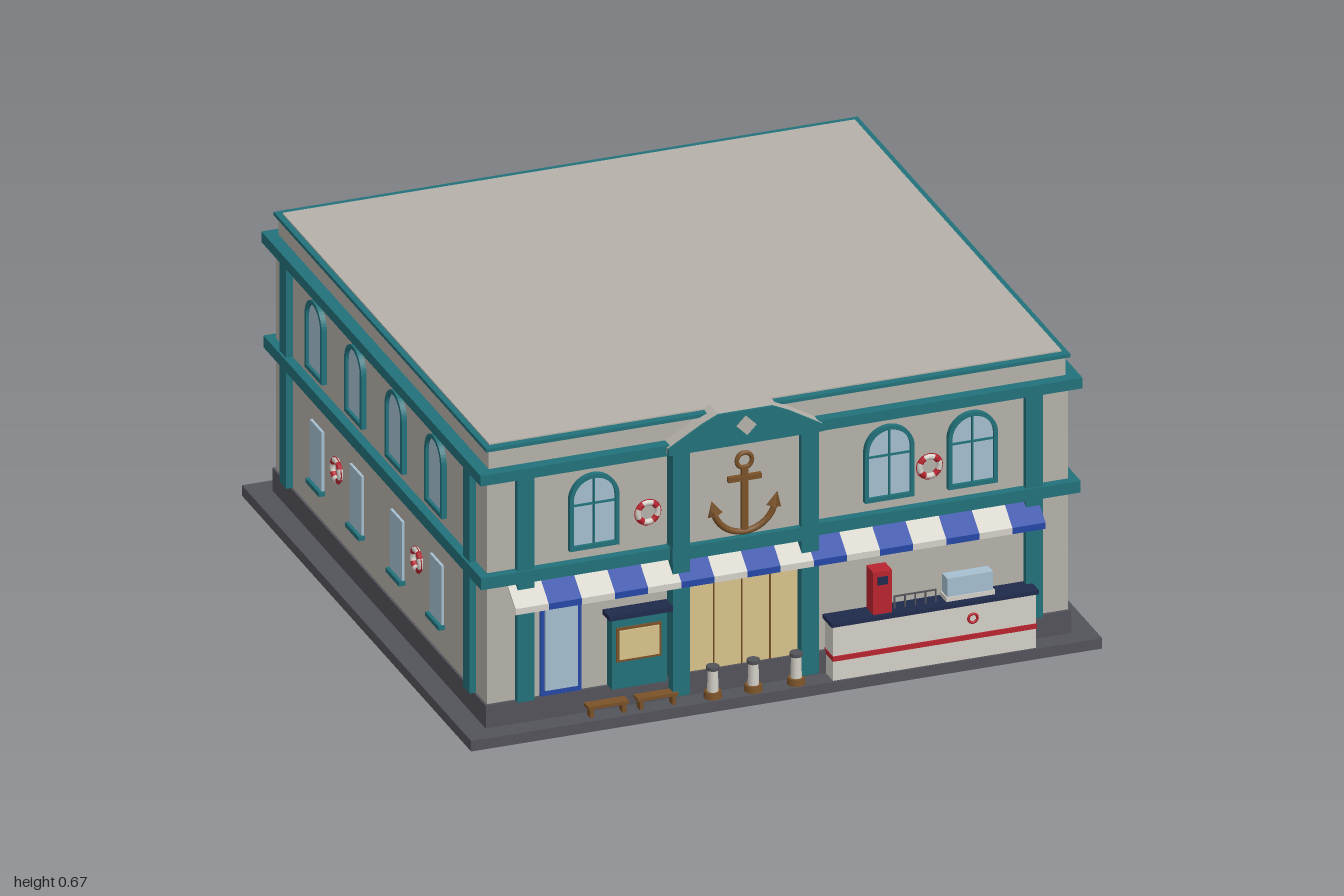
import * as THREE from 'three';

const mat = (name, color, side = THREE.FrontSide) => {
  const m = new THREE.MeshStandardMaterial({ color, side });
  m.name = name;
  return m;
};

export function createModel() {
  const M = {
    wall: mat('warm grey', 0xb5b1a9), teal: mat('teal', 0x22727a), slate: mat('slate', 0x53535a),
    glass: mat('pale glass', 0xa6bfd0), tan: mat('sand', 0xdac38c), blue: mat('awning blue', 0x2448a6),
    red: mat('red', 0xb8242f), brown: mat('brown', 0x7a5228), navy: mat('navy', 0x1f2a4c),
    white: mat('off white', 0xd4d0c8),
  };
  const root = new THREE.Group();
  root.name = 'harbourShop';

  const add = (parent, name, geo, m, x = 0, y = 0, z = 0) => {
    const o = new THREE.Mesh(geo, m);
    o.name = name;
    o.position.set(x, y, z);
    parent.add(o);
    return o;
  };
  // box from its limits on each axis
  const box = (parent, name, m, x0, x1, y0, y1, z0, z1) => add(parent, name,
    new THREE.BoxGeometry(x1 - x0, y1 - y0, z1 - z0), m, (x0 + x1) / 2, (y0 + y1) / 2, (z0 + z1) / 2);
  const slab = (name, m, hx, y0, y1, hz) => box(root, name, m, -hx, hx, y0, y1, -hz, hz);
  const group = (parent, name, x = 0, y = 0, z = 0) => {
    const g = new THREE.Group();
    g.name = name;
    g.position.set(x, y, z);
    parent.add(g);
    return g;
  };
  const extrude = (shape, depth) => new THREE.ExtrudeGeometry(shape, { depth, bevelEnabled: false, curveSegments: 12 });

  // main shell
  slab('pavement', M.slate, 0.7, 0.001, 0.025, 0.665);
  slab('walls', M.wall, 0.645, 0, 0.6, 0.612);
  slab('plinth', M.slate, 0.65, 0.025, 0.077, 0.619);
  slab('middleBand', M.teal, 0.665, 0.35, 0.377, 0.632);
  slab('cornice', M.teal, 0.668, 0.59, 0.614, 0.636);
  slab('parapet', M.wall, 0.64, 0.614, 0.657, 0.61);
  slab('parapetCap', M.teal, 0.648, 0.656, 0.664, 0.617);
  slab('roof', M.wall, 0.635, 0.6, 0.667, 0.6);

  // pilasters near every corner on all four faces
  for (const s of [-1, 1]) for (const t of [-1, 1]) {
    add(root, 'facePilaster', new THREE.BoxGeometry(0.037, 0.515, 0.03), M.teal, s * 0.564, 0.334, t * 0.613);
    add(root, 'sidePilaster', new THREE.BoxGeometry(0.03, 0.515, 0.037), M.teal, s * 0.645, 0.334, t * 0.532);
  }

  // arched window, base at local origin, facing +z
  const arch = (r, y0, top, Type = THREE.Shape) => {
    const s = new Type();
    s.moveTo(-r, y0);
    s.lineTo(r, y0);
    s.lineTo(r, top);
    s.absarc(0, top, r, 0, Math.PI, false);
    s.closePath();
    return s;
  };
  const archedWindow = (parent, x, y, w, bars) => {
    const g = group(parent, 'archedWindow', x, y), r = w / 2;
    const frame = arch(r, 0, 0.17 - r);
    frame.holes.push(arch(r - 0.009, 0.01, 0.17 - r, THREE.Path));
    add(g, 'windowFrame', extrude(frame, 0.012), M.teal);
    add(g, 'windowGlass', extrude(arch(r - 0.008, 0.008, 0.17 - r), 0.005), M.glass);
    if (bars) {
      box(g, 'verticalBar', M.teal, -0.002, 0.002, 0.005, 0.165, 0, 0.009);
      box(g, 'crossBar', M.teal, -r + 0.005, r - 0.005, 0.1, 0.104, 0, 0.009);
    }
  };
  const lifeRing = (parent, x, y) => {
    const g = group(parent, 'lifeRing', x, y, 0.006);
    for (let i = 0; i < 8; i++) {
      const wide = i % 2 ? 0.95 : Math.PI / 2 - 0.95;
      const seg = add(g, i % 2 ? 'ringWhite' : 'ringRed',
        new THREE.TorusGeometry(0.022, 0.0065, 8, 5, wide), i % 2 ? M.white : M.red);
      seg.rotation.z = Math.floor(i / 2) * Math.PI / 2 + 0.5 + (i % 2 ? Math.PI / 2 - 0.95 : 0);
    }
    add(g, 'ringRope', new THREE.TorusGeometry(0.029, 0.0012, 4, 20), M.red);
  };

  // both side facades; u runs along the wall as seen from outside
  for (const s of [-1, 1]) {
    const g = group(root, s > 0 ? 'leftFacade' : 'rightFacade', s * 0.645);
    g.rotation.y = s * Math.PI / 2;
    for (const z of [0.33, 0.1, -0.135, -0.365]) {
      const u = -s * z;
      archedWindow(g, u, 0.4, 0.1, false);
      box(g, 'lowerWindow', M.glass, u - 0.035, u + 0.035, 0.15, 0.285, 0, 0.006);
      box(g, 'windowSill', M.teal, u - 0.039, u + 0.039, 0.14, 0.15, 0, 0.014);
    }
    for (const z of [0.22, -0.245]) lifeRing(g, -s * z, 0.236);
  }

  // front upper floor
  const front = group(root, 'frontFacade', 0, 0, 0.612);
  for (const x of [-0.41, 0.245, 0.43]) archedWindow(front, x, 0.4, 0.11, true);
  for (const x of [-0.29, 0.335]) lifeRing(front, x, 0.46);

  // central bay with pediment
  const bay = group(root, 'centralBay', -0.083);
  box(bay, 'bayPanel', M.wall, -0.15, 0.15, 0.37, 0.62, 0.6, 0.63);
  box(bay, 'bayBand', M.teal, -0.163, 0.163, 0.35, 0.38, 0.6, 0.645);
  for (const s of [-1, 1]) add(bay, 'bayColumn', new THREE.BoxGeometry(0.038, 0.56, 0.04), M.teal, s * 0.143, 0.32, 0.625);
  const ped = new THREE.Shape([[-0.172, 0.595], [0.172, 0.595], [0.172, 0.61], [0.095, 0.655], [0.06, 0.671],
    [-0.06, 0.671], [-0.095, 0.655], [-0.172, 0.61]].map(p => new THREE.Vector2(...p)));
  add(bay, 'pedimentBody', extrude(ped, 0.05), M.wall, 0, 0, 0.592);
  add(bay, 'pedimentFace', extrude(ped, 0.006), M.teal, 0, 0, 0.642);
  const diamond = add(bay, 'diamond', new THREE.BoxGeometry(0.033, 0.033, 0.006), M.wall, 0, 0.638, 0.648);
  diamond.rotation.z = Math.PI / 4;
  diamond.scale.x = 0.9;

  // anchor ornament
  const anchor = group(bay, 'anchor', 0, 0, 0.637);
  add(anchor, 'anchorEye', new THREE.TorusGeometry(0.017, 0.005, 8, 18), M.brown, 0, 0.553, 0);
  box(anchor, 'anchorShank', M.brown, -0.007, 0.007, 0.39, 0.54, -0.005, 0.005);
  box(anchor, 'anchorStock', M.brown, -0.037, 0.037, 0.508, 0.519, -0.005, 0.006);
  const arms = add(anchor, 'anchorArms', new THREE.TorusGeometry(0.07, 0.007, 8, 24, Math.PI * 0.86), M.brown, 0, 0.46, 0);
  arms.rotation.z = Math.PI * 1.07;
  for (const s of [-1, 1]) {
    const tip = add(anchor, 'anchorFluke', new THREE.ConeGeometry(0.017, 0.034, 4), M.brown, s * 0.069, 0.454, 0);
    tip.rotation.z = -s * 0.25;
    tip.scale.z = 0.5;
  }

  // striped awning
  const awning = group(root, 'awning');
  const pitch = 1.176 / 16, drop = Math.atan2(0.035, 0.046);
  for (let i = 0; i < 16; i++) {
    const m = i % 2 ? M.blue : M.white, x = -0.6 + pitch * (i + 0.5);
    const cloth = add(awning, 'awningStripe', new THREE.BoxGeometry(pitch, 0.004, 0.058), m, x, 0.325, 0.637);
    cloth.rotation.x = drop;
    add(awning, 'awningValance', new THREE.BoxGeometry(pitch, 0.014, 0.004), m, x, 0.302, 0.66);
  }

  // shop front: door, kiosk and large window
  const shop = group(root, 'shopFront');
  box(shop, 'doorFrame', M.blue, -0.528, -0.437, 0.077, 0.29, 0.61, 0.618);
  box(shop, 'doorGlass', M.glass, -0.519, -0.446, 0.09, 0.283, 0.61, 0.622);
  box(shop, 'kiosk', M.teal, -0.378, -0.256, 0.077, 0.242, 0.61, 0.64);
  box(shop, 'kioskTop', M.navy, -0.388, -0.247, 0.24, 0.251, 0.61, 0.652);
  box(shop, 'kioskBoard', M.brown, -0.369, -0.269, 0.139, 0.217, 0.638, 0.643);
  box(shop, 'kioskPoster', M.tan, -0.363, -0.275, 0.145, 0.211, 0.638, 0.646);
  box(shop, 'displayWindow', M.tan, -0.206, 0.042, 0.08, 0.305, 0.61, 0.62);
  for (const x of [-0.145, -0.083, -0.02]) box(shop, 'windowMullion', M.brown, x - 0.0015, x + 0.0015, 0.08, 0.305, 0.615, 0.623);

  // low benches and bollards along the pavement
  for (const x of [-0.39, -0.28]) {
    box(shop, 'benchSeat', M.brown, x - 0.045, x + 0.045, 0.045, 0.052, 0.626, 0.652);
    for (const s of [-1, 1]) box(shop, 'benchLeg', M.brown, x + s * 0.036 - 0.004, x + s * 0.036 + 0.004, 0.025, 0.046, 0.63, 0.65);
  }
  for (const x of [-0.155, -0.065, 0.03]) {
    add(shop, 'bollardBase', new THREE.CylinderGeometry(0.018, 0.02, 0.014, 12), M.brown, x, 0.032, 0.642);
    add(shop, 'bollardPost', new THREE.CylinderGeometry(0.011, 0.012, 0.05, 12), M.white, x, 0.064, 0.642);
    add(shop, 'bollardCap', new THREE.CylinderGeometry(0.014, 0.014, 0.008, 12), M.slate, x, 0.092, 0.642);
  }

  // serving counter with its equipment
  const counter = group(root, 'servingCounter');
  box(counter, 'counterBody', M.white, 0.105, 0.555, 0.025, 0.15, 0.61, 0.66);
  box(counter, 'counterStripe', M.red, 0.104, 0.556, 0.07, 0.081, 0.61, 0.663);
  box(counter, 'counterTop', M.navy, 0.1, 0.56, 0.149, 0.158, 0.61, 0.665);
  box(counter, 'redDispenser', M.red, 0.196, 0.238, 0.158, 0.255, 0.615, 0.655);
  box(counter, 'dispenserPanel', M.navy, 0.206, 0.228, 0.225, 0.243, 0.65, 0.657);
  box(counter, 'displayCaseBase', M.white, 0.36, 0.468, 0.158, 0.168, 0.615, 0.65);
  box(counter, 'displayCase', M.glass, 0.363, 0.465, 0.168, 0.21, 0.618, 0.648);
  box(counter, 'rackRail', M.slate, 0.248, 0.342, 0.184, 0.187, 0.638, 0.641);
  for (let i = 0; i < 5; i++) box(counter, 'rackPost', M.slate, 0.248 + i * 0.0228, 0.251 + i * 0.0228, 0.158, 0.185, 0.638, 0.641);
  add(counter, 'counterRing', new THREE.TorusGeometry(0.01, 0.003, 8, 16), M.red, 0.415, 0.117, 0.661);

  // rear door, gable tab, crates and rope coil
  const rear = group(root, 'rearYard');
  box(rear, 'rearDoor', M.navy, -0.05, 0.05, 0.025, 0.27, -0.622, -0.61);
  box(rear, 'rearTab', M.teal, -0.035, 0.035, 0.612, 0.648, -0.622, -0.605);
  box(rear, 'lowerCrate', M.brown, 0.23, 0.32, 0.025, 0.073, -0.66, -0.621);
  box(rear, 'upperCrate', M.brown, 0.245, 0.305, 0.074, 0.12, -0.655, -0.621);
  for (const y of [0.04, 0.058]) box(rear, 'crateSlat', M.tan, 0.231, 0.319, y - 0.001, y + 0.001, -0.661, -0.65);
  for (const y of [0.031, 0.041]) {
    const coil = add(rear, 'ropeCoil', new THREE.TorusGeometry(0.02, 0.006, 8, 18), M.tan, -0.2, y, -0.642);
    coil.rotation.x = Math.PI / 2;
  }
  return root;
}
